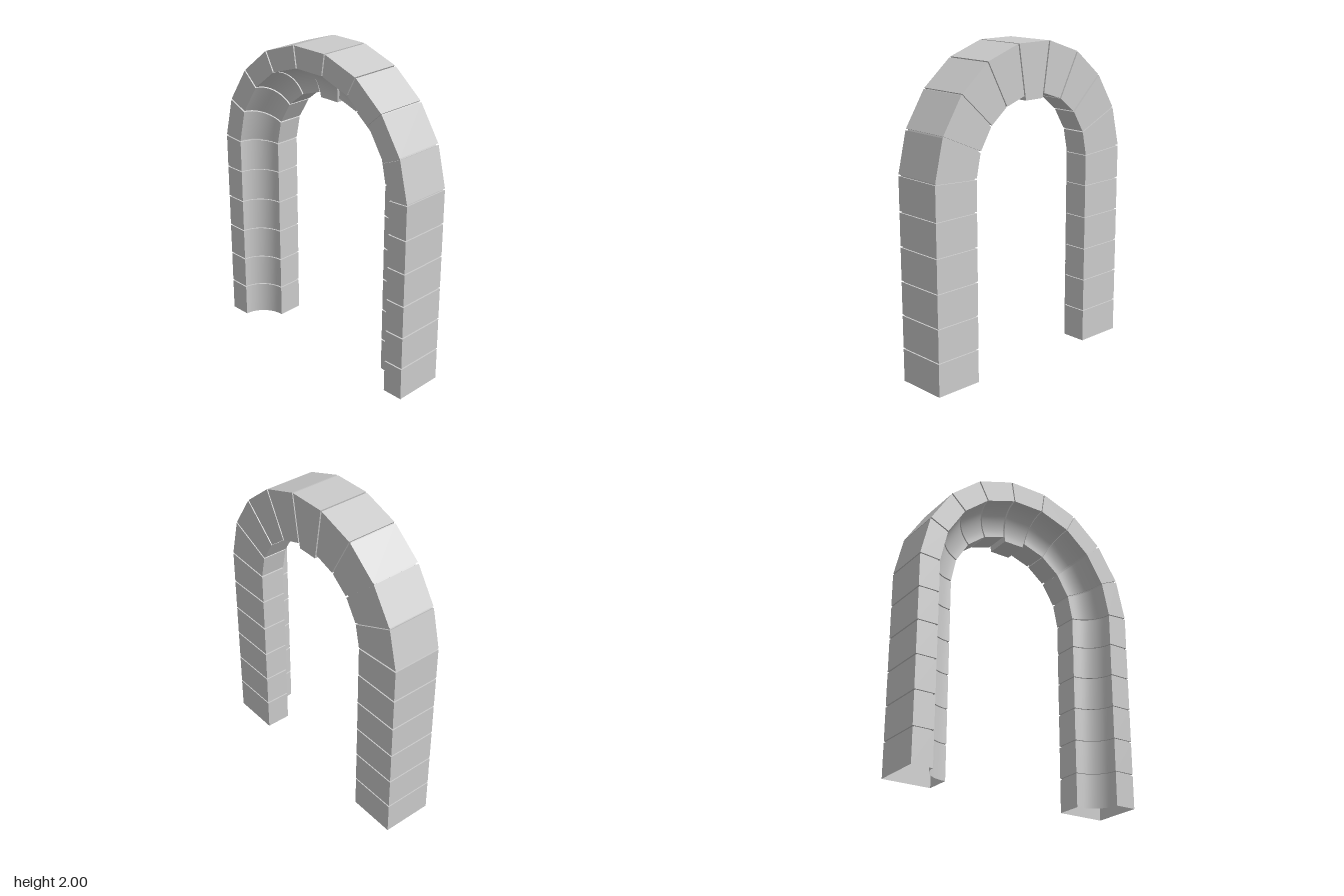
import * as THREE from 'three';
import { toCreasedNormals } from 'three/addons/utils/BufferGeometryUtils.js';

const HALF_DEPTH = 0.163; // half thickness of the arch in z
const GAP = 0.005;        // half width of a joint
const RECESS = 0.01;      // how far joints sit behind the stone faces
const ARC_STEPS = 12;

const material = new THREE.MeshStandardMaterial({ color: 0xcccccc, side: THREE.DoubleSide });

// Stone section: a rectangle with a cove cut from its inner front corner.
// Points are [distance from inner edge, z]; d shrinks the outline.
function section(width, cove, d) {
  const h = HALF_DEPTH;
  const points = [[d, -h + d], [width - d, -h + d], [width - d, h - d]];
  for (let i = 0; i <= ARC_STEPS; i++) {
    const a = (i / ARC_STEPS) * Math.PI / 2;
    points.push([
      Math.max(d, Math.cos(a) * (cove + d)),
      Math.min(h - d, h - Math.sin(a) * (h + d)),
    ]);
  }
  return points;
}

// One section placed on a joint line, shifted along the arch; drop lengthens it inward.
function ring(joint, shift, d = 0, drop = 0) {
  const [ix, iy, ox, oy] = joint;
  const length = Math.hypot(ox - ix, oy - iy);
  const ux = (ox - ix) / length, uy = (oy - iy) / length;
  return section(length + drop, length * 0.565 + drop, d).map(([s, z]) => [
    ix + ux * (s - drop) - uy * shift,
    iy + uy * (s - drop) + ux * shift,
    z,
  ]);
}

// Skin a run of rings
function loft(rings, name) {
  const positions = [];
  for (let r = 0; r < rings.length - 1; r++) {
    const n = rings[r].length;
    for (let i = 0; i < n; i++) {
      const j = (i + 1) % n;
      const a = rings[r][i], b = rings[r][j];
      const a2 = rings[r + 1][i], b2 = rings[r + 1][j];
      positions.push(...a, ...a2, ...b, ...b, ...a2, ...b2);
    }
  }
  const geometry = new THREE.BufferGeometry();
  geometry.setAttribute('position', new THREE.Float32BufferAttribute(positions, 3));
  const mesh = new THREE.Mesh(toCreasedNormals(geometry, 0.5), material);
  mesh.name = name;
  return mesh;
}

export function createModel() {
  const group = new THREE.Group();
  group.name = 'stoneArch';

  // Joint lines of one half: inner x, y, outer x, y
  const half = [];
  for (let i = 0; i < 6; i++) half.push([0.463, i * 0.2118, 0.772, i * 0.2118]);
  half.push(
    [0.463, 1.256, 0.772, 1.276],
    [0.43, 1.41, 0.71, 1.534],
    [0.345, 1.548, 0.569, 1.754],
    [0.225, 1.643, 0.37, 1.917],
    [0.078, 1.692, 0.127, 2.0],
  );
  const mirrored = half.map(([ix, iy, ox, oy]) => [-ix, iy, -ox, oy]).reverse();
  const joints = [...half, ...mirrored];

  const last = joints.length - 2;
  const keystone = last / 2;
  for (let k = 0; k <= last; k++) {
    const isKey = k === keystone;
    const drop = isKey ? 0.03 : 0;
    const isLeg = k < 6 || k > last - 6;

    // Stone, with its edges turned in at each joint; feet stay open
    const rings = [];
    if (k > 0) rings.push(ring(joints[k], GAP, RECESS));
    rings.push(ring(joints[k], k > 0 ? GAP : 0, 0, drop));
    rings.push(ring(joints[k + 1], k < last ? -GAP : 0, 0, drop));
    if (k < last) rings.push(ring(joints[k + 1], -GAP, RECESS));
    group.add(loft(rings, isKey ? 'keystone' : isLeg ? 'pillarBlock' : 'archStone'));

    // Recessed joint to the next stone
    if (k < last) {
      group.add(loft([
        ring(joints[k + 1], -GAP, RECESS),
        ring(joints[k + 1], GAP, RECESS),
      ], 'mortarJoint'));
    }
  }
  return group;
}
